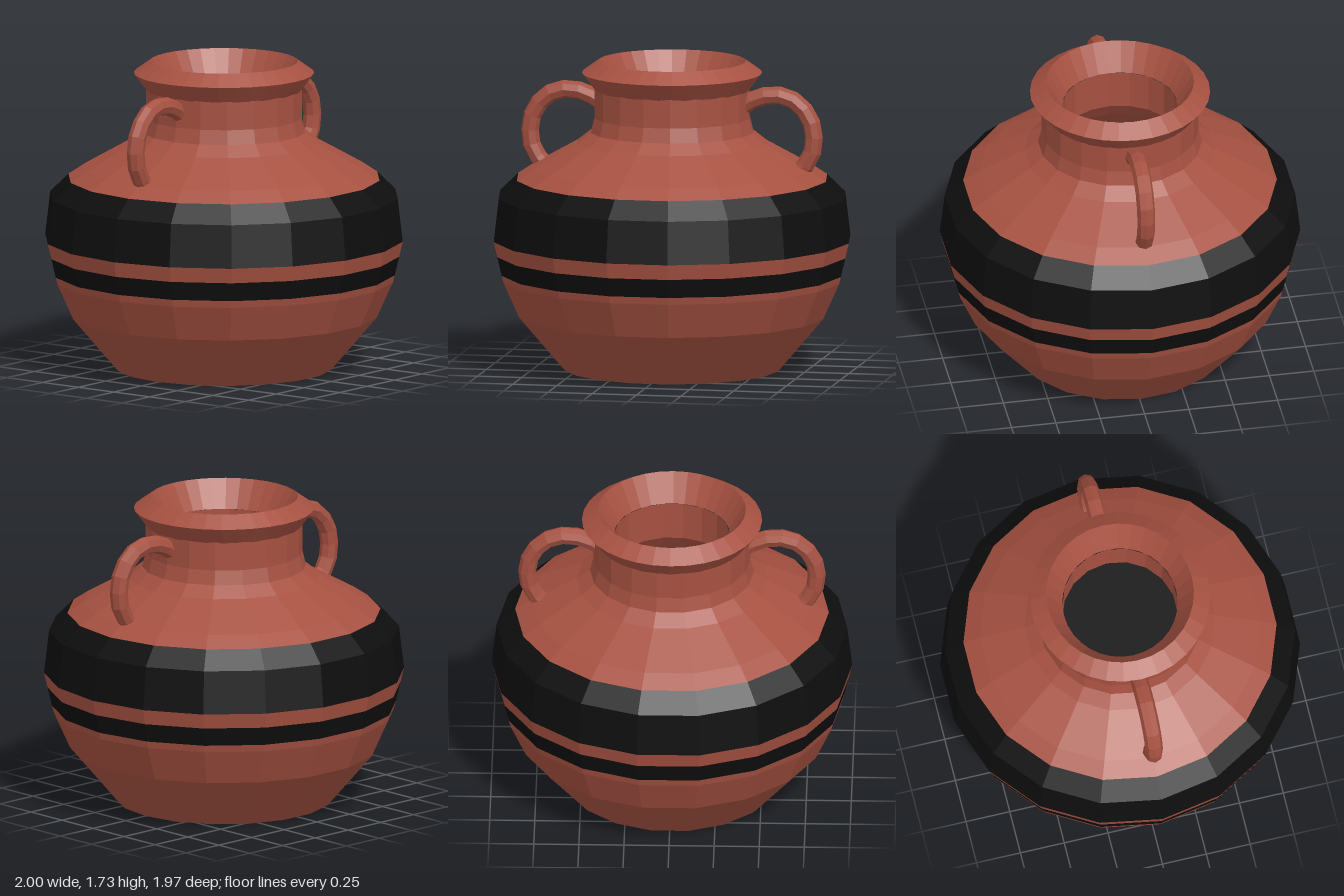
import * as THREE from 'three';

const SIDES = 18;
const terracotta = new THREE.MeshStandardMaterial({ color: 0xa65141 });
terracotta.name = 'terracotta';
const black = new THREE.MeshStandardMaterial({ color: 0x0e0e0e });
black.name = 'black glaze';

// faceted normals
function faceted(geometry) {
  const g = geometry.toNonIndexed();
  g.computeVertexNormals();
  return g;
}

function addMesh(parent, name, geometry, material) {
  const mesh = new THREE.Mesh(geometry, material);
  mesh.name = name;
  parent.add(mesh);
  return mesh;
}

// turned part from [radius, height] pairs
function turned(profile, sides = SIDES) {
  const points = profile.map(([r, y]) => new THREE.Vector2(r, y));
  return faceted(new THREE.LatheGeometry(points, sides, Math.PI / 2));
}

export function createModel() {
  const pot = new THREE.Group();
  pot.name = 'pot';

  // body, from the base upwards, split at the painted bands
  addMesh(pot, 'lowerBody', turned([[0, 0], [0.6, 0], [0.855, 0.3], [0.945, 0.5], [0.955, 0.54]]), terracotta);
  addMesh(pot, 'narrowBand', turned([[0.955, 0.54], [0.98, 0.645]]), black);
  addMesh(pot, 'middleBody', turned([[0.98, 0.645], [1, 0.73]]), terracotta);
  addMesh(pot, 'wideBand', turned([[1, 0.73], [0.972, 0.97], [0.87, 1.07]]), black);
  addMesh(pot, 'shoulder', turned([[0.87, 1.07], [0.78, 1.13], [0.53, 1.27], [0.455, 1.33]]), terracotta);
  addMesh(pot, 'neck', turned([[0.455, 1.33], [0.435, 1.41], [0.435, 1.57]]), terracotta);

  // flared rim, smoother than the body
  addMesh(pot, 'rim', turned([[0.43, 1.565], [0.5, 1.66], [0.41, 1.725], [0.32, 1.57]], 32), terracotta);

  // inside wall and floor
  addMesh(pot, 'innerWall', turned([[0.32, 1.57], [0.32, 1.35], [0.4, 1.24], [0.58, 1.07]]), terracotta);
  const floor = addMesh(pot, 'innerFloor', new THREE.CircleGeometry(0.6, SIDES), black);
  floor.rotation.x = -Math.PI / 2;
  floor.position.y = 1.07;

  // bare clay patch on the floor
  const patch = new THREE.Shape([
    new THREE.Vector2(-0.43, -0.13),
    new THREE.Vector2(0.18, 0.42),
    new THREE.Vector2(-0.35, 0.4),
  ]);
  const bare = addMesh(pot, 'floorPatch', new THREE.ShapeGeometry(patch), terracotta);
  bare.rotation.x = -Math.PI / 2;
  bare.position.y = 1.076;

  // a looped handle on each side
  const path = [[0.38, 1.47], [0.48, 1.53], [0.6, 1.55], [0.71, 1.51], [0.785, 1.41],
    [0.803, 1.3], [0.78, 1.2], [0.7, 1.1]];
  for (const [name, side] of [['leftHandle', 1], ['rightHandle', -1]]) {
    const curve = new THREE.CatmullRomCurve3(path.map(([x, y]) => new THREE.Vector3(side * x, y, 0)));
    addMesh(pot, name, faceted(new THREE.TubeGeometry(curve, 10, 0.05, 8)), terracotta);
  }

  return pot;
}
